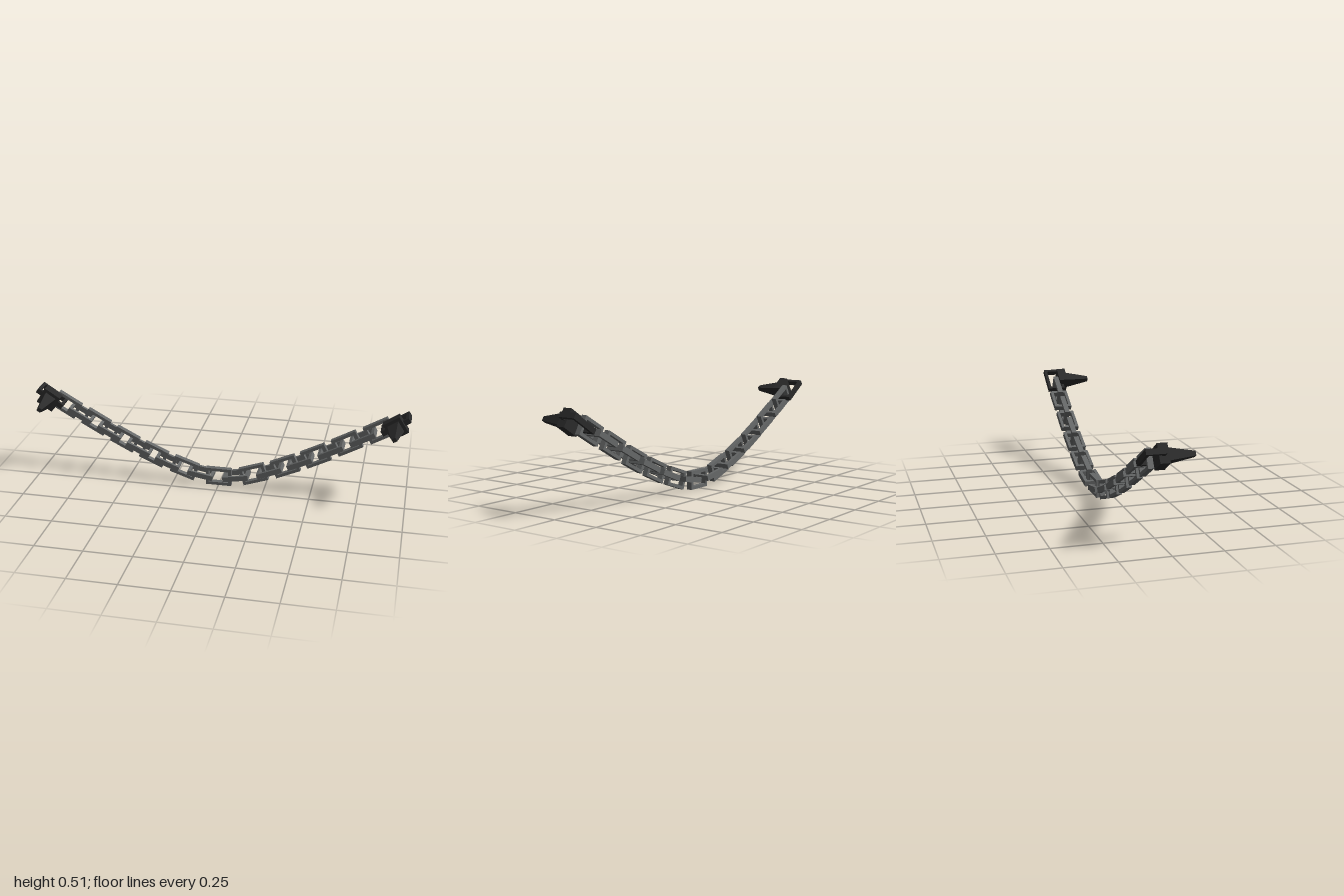
import * as THREE from 'three';

const Z = -0.078;      // plane in which the chain hangs
const BAR = 0.016;     // bar width in the plane of a link
const DEPTH = 0.028;   // bar thickness across the link

// Rectangular link with a square-cornered opening, long side on x
function linkGeometry(length, height) {
  const rect = (path, w, h) => {
    path.moveTo(-w / 2, -h / 2);
    path.lineTo(w / 2, -h / 2);
    path.lineTo(w / 2, h / 2);
    path.lineTo(-w / 2, h / 2);
    path.closePath();
    return path;
  };
  const shape = rect(new THREE.Shape(), length, height);
  shape.holes.push(rect(new THREE.Path(), length - 2 * BAR, height - 2 * BAR));
  return new THREE.ExtrudeGeometry(shape, { depth: DEPTH, bevelEnabled: false })
    .translate(0, 0, -DEPTH / 2);
}

export function createModel() {
  const group = new THREE.Group();
  const chainMat = new THREE.MeshStandardMaterial({ color: 0x666868, flatShading: true });
  const darkMat = new THREE.MeshStandardMaterial({ color: 0x2a2a2a, flatShading: true });

  const upright = linkGeometry(0.14, 0.097);
  const flat = upright.clone().rotateX(Math.PI / 2);
  const endLink = linkGeometry(0.16, 0.096).rotateX(Math.PI / 2);

  // Link centres and slopes from the lowest link outwards: x, y, degrees
  const links = [
    [0, 0.049, 0], [0.097, 0.063, 10], [0.19, 0.082, 19], [0.28, 0.113, 22],
    [0.36, 0.146, 24], [0.44, 0.183, 25], [0.52, 0.222, 27], [0.6, 0.265, 28],
    [0.68, 0.31, 29], [0.76, 0.353, 29], [0.84, 0.397, 30],
  ];

  function add(parent, name, geometry, material) {
    const mesh = new THREE.Mesh(geometry, material);
    mesh.name = name;
    parent.add(mesh);
    return mesh;
  }

  // Chain: upright and flat links alternate, mirrored about the lowest one
  links.forEach(([x, y, deg], i) => {
    for (const side of i ? [1, -1] : [1]) {
      const link = add(group, i % 2 ? 'flatLink' : 'uprightLink', i % 2 ? flat : upright, chainMat);
      link.position.set(side * x, y, Z);
      link.rotation.z = side * THREE.MathUtils.degToRad(deg);
    }
  });

  // Wall anchors: dark end link, square collar and tapered spike
  const spikeLength = 0.138;
  const collar = new THREE.BoxGeometry(0.096, 0.096, 0.048).translate(0, 0, -0.034);
  const spike = new THREE.CylinderGeometry(0.022 / Math.SQRT2, 0.063 / Math.SQRT2, spikeLength, 4)
    .rotateY(Math.PI / 4)
    .rotateX(Math.PI / 2)
    .translate(0, 0, -0.011 + spikeLength / 2);

  for (const side of [1, -1]) {
    const anchor = new THREE.Group();
    anchor.name = side > 0 ? 'leftAnchor' : 'rightAnchor';
    add(anchor, 'endLink', endLink, darkMat).position.z = Z;
    add(anchor, 'collar', collar, darkMat);
    add(anchor, 'spike', spike, darkMat);
    anchor.position.set(side * 0.923, 0.442, 0);
    anchor.rotation.z = side * THREE.MathUtils.degToRad(33);
    group.add(anchor);
  }
  return group;
}
